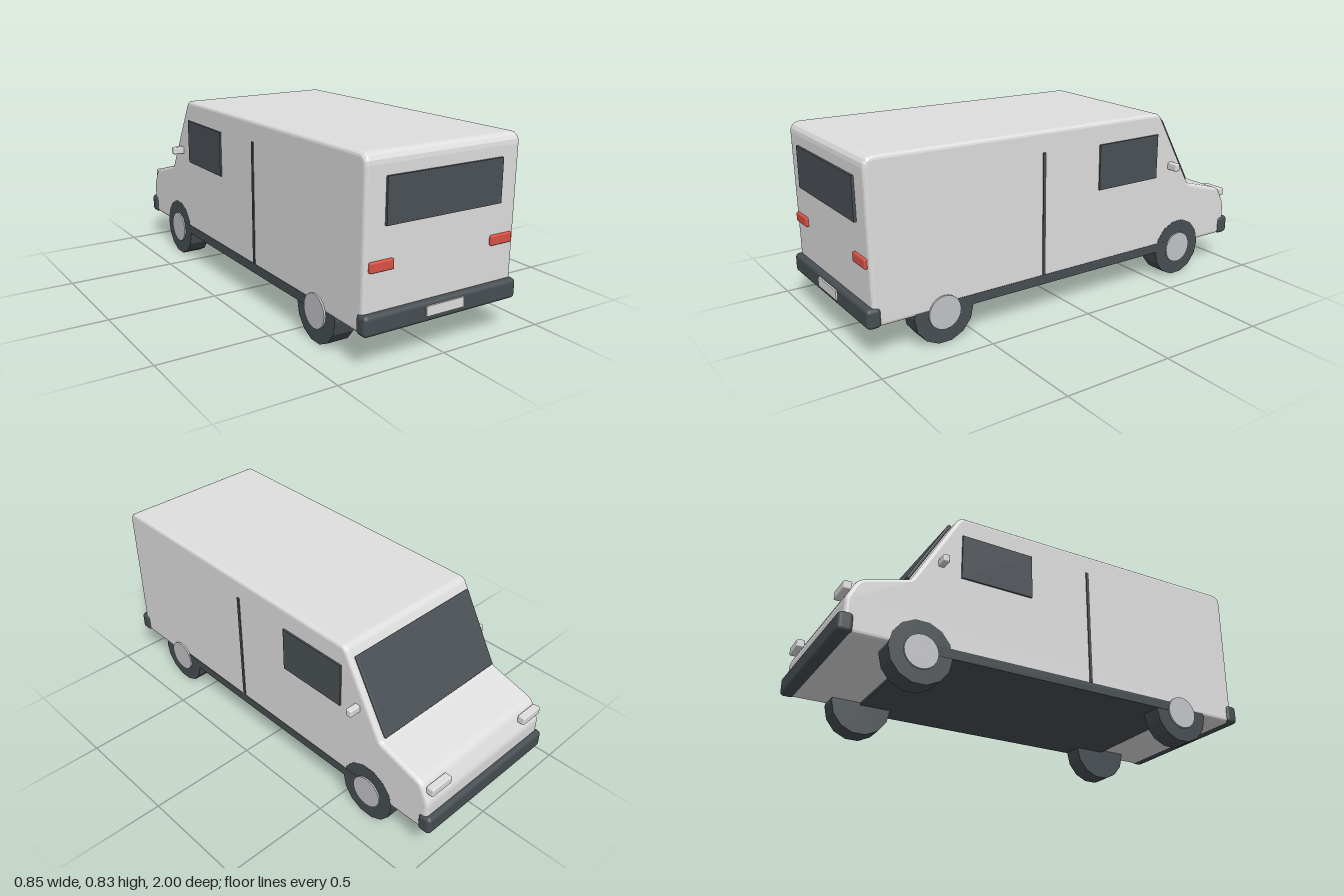
import * as THREE from 'three';
import { RoundedBoxGeometry } from 'three/addons/geometries/RoundedBoxGeometry.js';

const material = (name, color) => {
  const m = new THREE.MeshStandardMaterial({ color });
  m.name = name;
  return m;
};

// Closed outline with softened corners; each point is [z, y, corner radius]
function roundedOutline(points) {
  const shape = new THREE.Shape();
  const n = points.length;
  points.forEach(([x, y, r], i) => {
    const p = new THREE.Vector2(x, y);
    const toward = ([a, b]) => new THREE.Vector2(a, b).sub(p).setLength(r).add(p);
    const start = toward(points[(i + n - 1) % n]);
    const end = toward(points[(i + 1) % n]);
    if (i === 0) shape.moveTo(start.x, start.y);
    else shape.lineTo(start.x, start.y);
    shape.quadraticCurveTo(x, y, end.x, end.y);
  });
  shape.closePath();
  return shape;
}

export function createModel() {
  const van = new THREE.Group();
  van.name = 'deliveryVan';

  const paint = material('bodyPaint', 0xdedede);
  const glass = material('glass', 0x4a5055);
  const trim = material('darkTrim', 0x474e52);
  const red = material('tailLightRed', 0xdb5144);
  const metal = material('hubMetal', 0xc3c4c8);

  const add = (name, geometry, mat, x, y, z) => {
    const mesh = new THREE.Mesh(geometry, mat);
    mesh.name = name;
    mesh.position.set(x, y, z);
    van.add(mesh);
    return mesh;
  };
  const box = (w, h, d) => new THREE.BoxGeometry(w, h, d);
  const soft = (w, h, d, r) => new RoundedBoxGeometry(w, h, d, 2, r);

  // Body: side profile extruded across the width, with bevelled edges
  const bevel = 0.016;
  const halfWidth = 0.372;
  const profile = roundedOutline([
    [0.948, 0.162, 0.01], [0.956, 0.818, 0.03], [-0.495, 0.8, 0.015],
    [-0.702, 0.435, 0.02], [-0.92, 0.372, 0.02], [-0.96, 0.292, 0.015],
    [-0.96, 0.162, 0.01],
  ]);
  const depth = 2 * (halfWidth - bevel);
  const bodyGeometry = new THREE.ExtrudeGeometry(profile, {
    depth, bevelEnabled: true, bevelThickness: bevel, bevelSize: bevel,
    bevelSegments: 3, curveSegments: 4,
  });
  bodyGeometry.translate(0, 0, -depth / 2);
  bodyGeometry.rotateY(-Math.PI / 2);
  add('body', bodyGeometry, paint, 0, 0, 0);

  // Floor and sills between the axles
  add('sill', box(0.748, 0.043, 1.32), trim, 0, 0.1565, 0);

  // Bumpers and number plate
  add('rearBumper', soft(0.76, 0.086, 0.062, 0.018), trim, 0, 0.187, 0.961);
  add('frontBumper', soft(0.76, 0.086, 0.064, 0.018), trim, 0, 0.187, -0.968);
  add('numberPlate', box(0.186, 0.042, 0.01), paint, 0, 0.193, 0.994);

  // Windscreen and rear window
  const windscreen = add('windscreen', soft(0.695, 0.36, 0.014, 0.005), glass, 0, 0.62, -0.628);
  windscreen.rotation.x = 0.518;
  add('rearWindow', box(0.56, 0.185, 0.012), glass, 0, 0.6525, 0.975);

  // Parts mirrored on both sides
  const tyreGeometry = new THREE.CylinderGeometry(0.1385, 0.1385, 0.097, 14).toNonIndexed();
  tyreGeometry.computeVertexNormals();
  tyreGeometry.rotateZ(Math.PI / 2);
  const hubGeometry = new THREE.CylinderGeometry(0.074, 0.074, 0.02, 24);
  hubGeometry.rotateZ(Math.PI / 2);

  for (const [side, s] of [['left', 1], ['right', -1]]) {
    add(side + 'SideWindow', box(0.012, 0.207, 0.342), glass, s * 0.374, 0.617, -0.32);
    add(side + 'DoorSeam', box(0.01, 0.55, 0.014), trim, s * 0.371, 0.455, 0.151);
    add(side + 'Mirror', soft(0.06, 0.035, 0.028, 0.006), paint, s * 0.395, 0.558, -0.583);
    add(side + 'TailLight', soft(0.11, 0.042, 0.024, 0.006), red, s * 0.295, 0.409, 0.968);
    add(side + 'HeadLight', soft(0.116, 0.038, 0.036, 0.006), paint, s * 0.298, 0.355, -0.966);
    for (const [end, z, outer] of [['Front', -0.655, 0.373], ['Rear', 0.65, 0.371]]) {
      add(side + end + 'Tyre', tyreGeometry, trim, s * (outer - 0.0485), 0.135, z);
      add(side + end + 'Hub', hubGeometry, metal, s * 0.37, 0.135, z);
    }
  }
  return van;
}
